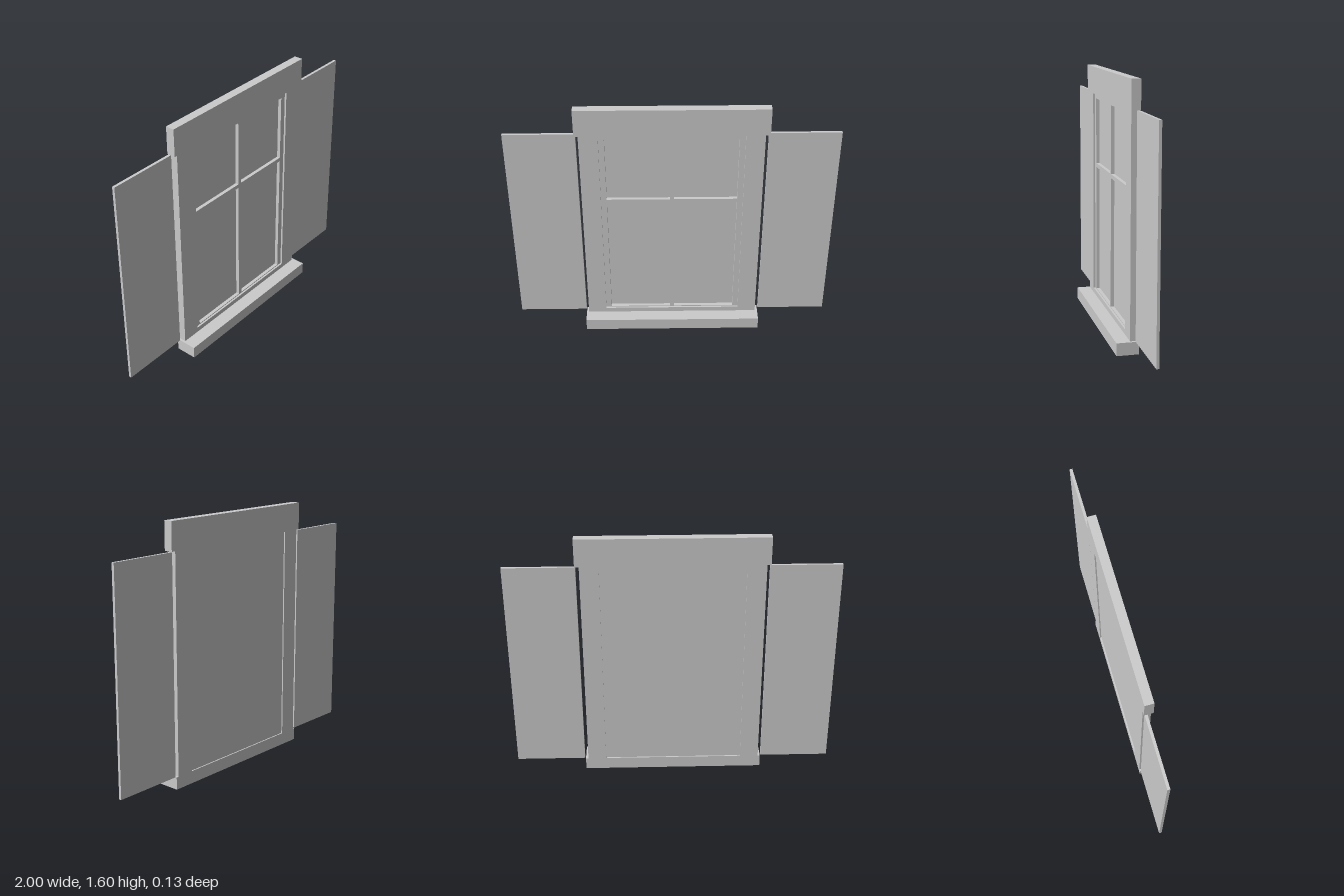
import * as THREE from 'three';

const material = new THREE.MeshStandardMaterial({ color: 0xcccccc, flatShading: true });

// Box given by its low and high limits on each axis
function block(name, [x0, x1], [y0, y1], [z0, z1]) {
  const mesh = new THREE.Mesh(new THREE.BoxGeometry(x1 - x0, y1 - y0, z1 - z0), material);
  mesh.name = name;
  mesh.position.set((x0 + x1) / 2, (y0 + y1) / 2, (z0 + z1) / 2);
  return mesh;
}

function rectangle(Type, [x0, x1], [y0, y1]) {
  return new Type([[x0, y0], [x1, y0], [x1, y1], [x0, y1]].map(([x, y]) => new THREE.Vector2(x, y)));
}

export function createModel() {
  const group = new THREE.Group();
  const back = -0.067;
  const inner = [-0.437, 0.432];

  // Masonry surround
  group.add(
    block('sill', [-0.567, 0.563], [0, 0.078], [back, 0.067]),
    block('lintel', [-0.577, 0.574], [1.428, 1.6], [back, -0.012]),
    block('rightJamb', [-0.553, inner[0]], [0.078, 1.428], [back, -0.018]),
    block('leftJamb', [inner[1], 0.547], [0.078, 1.428], [back, -0.018]),
    block('bottomRail', inner, [0.078, 0.11], [-0.058, -0.018])
  );

  // Sash with four openings, in front of the glass
  const sashShape = rectangle(THREE.Shape, inner, [0.108, 1.428]);
  for (const x of [[-0.402, -0.015], [0.01, 0.397]]) {
    for (const y of [[0.116, 0.945], [0.971, 1.395]]) {
      sashShape.holes.push(rectangle(THREE.Path, x, y));
    }
  }
  const sash = new THREE.Mesh(
    new THREE.ExtrudeGeometry(sashShape, { depth: 0.022, bevelEnabled: false }), material);
  sash.name = 'sash';
  sash.position.z = -0.052;
  group.add(sash, block('glass', inner, [0.078, 1.428], [-0.059, -0.052]));

  // Open shutters
  group.add(
    block('rightShutter', [-1, -0.57], [0.08, 1.425], [-0.063, -0.046]),
    block('leftShutter', [0.568, 1], [0.08, 1.425], [-0.063, -0.046])
  );
  return group;
}
